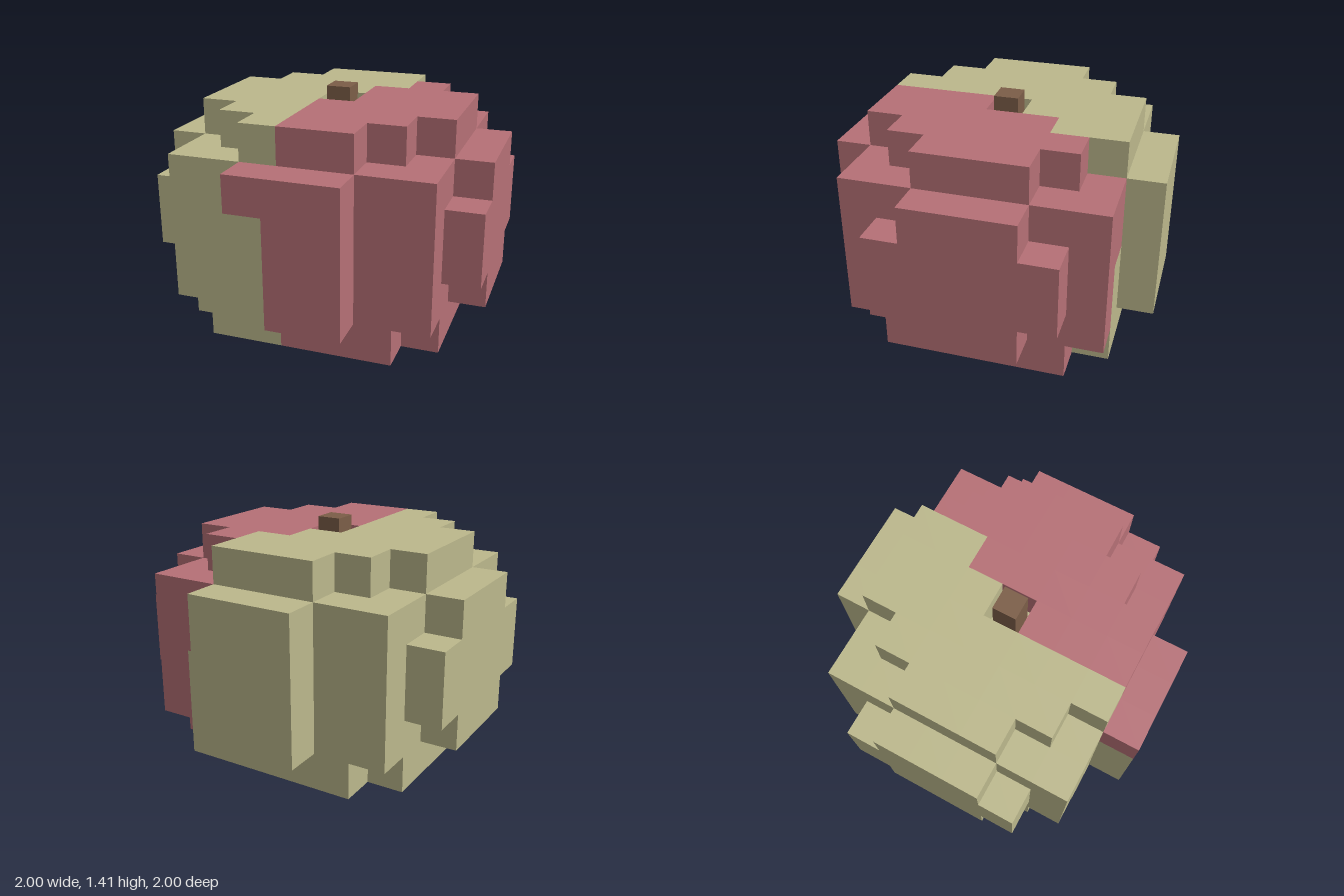
import * as THREE from 'three';
import { mergeGeometries } from 'three/addons/utils/BufferGeometryUtils.js';

const CELL = 2 / 9;

const mat = (name, color) => {
  const m = new THREE.MeshStandardMaterial({ color });
  m.name = name;
  return m;
};

// Fruit shape as a rule on a 9 x 6 x 9 block grid
function solid(x, y, z) {
  const ax = Math.abs(x), az = Math.abs(z);
  if (y < 0 || y > 5) return false;
  if (y === 0) return ax <= 3 && az <= 3 && ax + az < 6;
  if (y === 5) return ax <= 3 && az <= 3 && ax + az <= 4 && ax + az > 0; // dimple at the centre
  if (ax <= 3 && az <= 3) return true;
  if (ax === 4) return az <= (y === 2 || y === 3 ? 2 : 1); // side bulges
  return az === 4 && ax <= 1; // front and back bulges
}

// First rosy column in each row from back (z = -4) to front (z = 4)
const LOWER = [9, 3, 2, 2, 1, 1, 1, 0, 0];
const UPPER = [9, 2, 2, 1, 1, 0, 0, 0, 0];
function rosy(x, y, z) {
  if (y === 4 && z === 4) return true;
  return x >= (y < 3 ? LOWER : UPPER)[z + 4];
}

// One outward square for each of the six block faces
const FACES = [[1, 0, 0], [-1, 0, 0], [0, 1, 0], [0, -1, 0], [0, 0, 1], [0, 0, -1]].map((d) => {
  const n = new THREE.Vector3(...d);
  const turn = new THREE.Quaternion().setFromUnitVectors(new THREE.Vector3(0, 0, 1), n);
  const geometry = new THREE.PlaneGeometry(CELL, CELL).applyQuaternion(turn);
  geometry.translate(n.x * CELL / 2, n.y * CELL / 2, n.z * CELL / 2);
  return { d, geometry };
});

// Exposed faces of all blocks that pass the colour test
function skin(test) {
  const parts = [];
  for (let x = -4; x <= 4; x++) for (let y = 0; y <= 5; y++) for (let z = -4; z <= 4; z++) {
    if (!solid(x, y, z) || !test(x, y, z)) continue;
    for (const { d, geometry } of FACES) {
      if (solid(x + d[0], y + d[1], z + d[2])) continue;
      parts.push(geometry.clone().translate(x * CELL, (y + 0.5) * CELL, z * CELL));
    }
  }
  return mergeGeometries(parts);
}

export function createModel() {
  const group = new THREE.Group();
  group.name = 'blockFruit';
  const add = (name, geometry, material) => {
    const mesh = new THREE.Mesh(geometry, material);
    mesh.name = name;
    group.add(mesh);
    return mesh;
  };

  add('rosySkin', skin(rosy), mat('rosyRed', 0xb67076));
  add('paleSkin', skin((x, y, z) => !rosy(x, y, z)), mat('paleGreen', 0xbcb88c));

  // Stem standing in the dimple
  const stemHeight = CELL * 4 / 3;
  const stem = add('stem', new THREE.BoxGeometry(CELL * 2 / 3, stemHeight, CELL * 2 / 3), mat('stemBrown', 0x7c5e48));
  stem.position.y = CELL * 5 + stemHeight / 2;

  return group;
}
